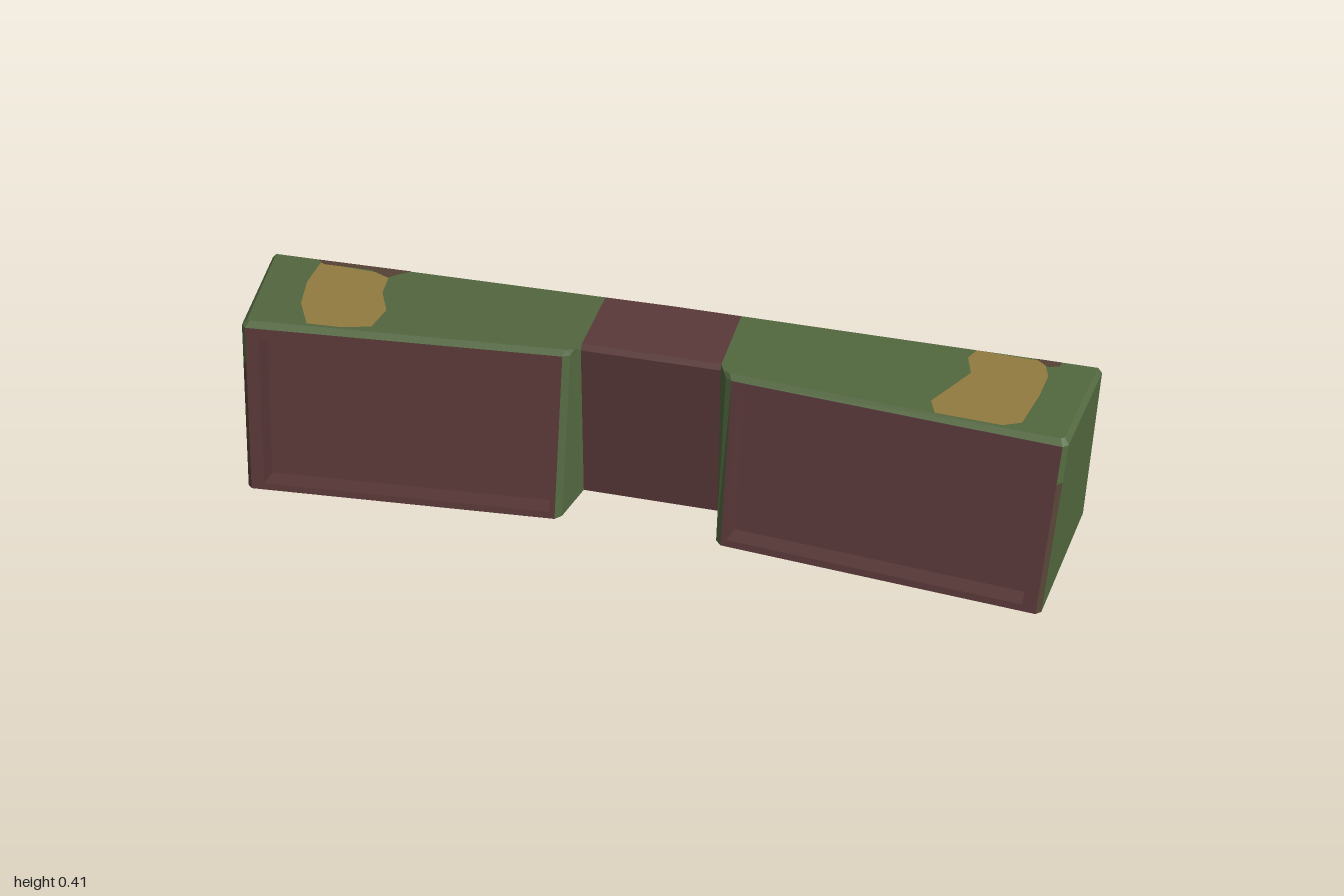
import * as THREE from 'three';

const V = (x, y, z) => new THREE.Vector3(x, y, z);

export function createModel() {
  const group = new THREE.Group();
  const material = (name, color) => {
    const m = new THREE.MeshStandardMaterial({ color });
    m.name = name;
    return m;
  };
  const green = material('olive green', 0x52673f);
  const brown = material('red brown', 0x5a3939);
  const tan = material('tan patch', 0x937b40);
  const earth = material('earth brown', 0x554235);

  const addMesh = (name, geometry, mat) => {
    const mesh = new THREE.Mesh(geometry, mat);
    mesh.name = name;
    group.add(mesh);
  };

  // Flat mesh from quads, each seen counter-clockwise; side -1 mirrors in x
  const addQuads = (name, mat, side, quads) => {
    const pos = [];
    for (const q of quads) {
      const order = side > 0 ? [0, 1, 2, 0, 2, 3] : [0, 2, 1, 0, 3, 2];
      for (const i of order) pos.push(q[i].x * side, q[i].y, q[i].z);
    }
    const g = new THREE.BufferGeometry();
    g.setAttribute('position', new THREE.Float32BufferAttribute(pos, 3));
    g.computeVertexNormals();
    addMesh(name, g, mat);
  };

  // Horizontal polygon from [x, z] points, facing up or down
  const addFlat = (name, mat, points, y, up = true) => {
    const s = up ? -1 : 1;
    const shape = new THREE.Shape(points.map(([x, z]) => new THREE.Vector2(x, s * z)));
    const g = new THREE.ShapeGeometry(shape);
    g.rotateX(s * Math.PI / 2);
    g.translate(0, y, 0);
    addMesh(name, g, mat);
  };
  const mirror = (pts) => pts.map(([x, z]) => [-x, z]);

  // Half outlines from the back centre round the end to the front centre
  const H = 0.412, RIM = 0.4;
  const base = [[0, -0.204], [1, -0.193], [0.947, 0.192], [0.935, 0.203],
    [0.2, 0.138], [0.186, 0.122], [0.164, 0.012], [0, 0.012]];
  const rim = [[0, -0.204], [1, -0.193], [0.957, 0.104], [0.945, 0.115],
    [0.198, 0.047], [0.182, 0.037], [0.164, 0.012], [0, 0.012]];
  const top = [[0, -0.204], [0.99, -0.193], [0.946, 0.094], [0.938, 0.1],
    [0.19, 0.035], [0.174, 0.027], [0.164, 0.003], [0, 0.003]];
  const at = (ring, i, y) => V(ring[i][0], y, ring[i][1]);
  const wall = (lo, yLo, hi, yHi, i) =>
    [at(lo, i + 1, yLo), at(lo, i, yLo), at(hi, i, yHi), at(hi, i + 1, yHi)];

  for (const side of [1, -1]) {
    const label = side > 0 ? 'left' : 'right';

    // Back, end and inner walls, with the bevel along the top edge
    const shell = [0, 1, 4, 5].map((i) => wall(base, 0, rim, RIM, i));
    for (let i = 0; i < 6; i++) shell.push(wall(rim, RIM, top, H, i));
    addQuads(label + 'Walls', green, side, shell);
    addQuads(label + 'CentreFront', brown, side,
      [wall(base, 0, rim, RIM, 6), wall(rim, RIM, top, H, 6)]);

    // Bevel between end and front, weathered on its lower part
    const split = base.map((p, i) => p.map((c, k) => c + (rim[i][k] - c) * 0.78));
    addQuads(label + 'EdgeBevelLower', earth, side, [wall(base, 0, split, RIM * 0.78, 2)]);
    addQuads(label + 'EdgeBevelUpper', green, side, [wall(split, RIM * 0.78, rim, RIM, 2)]);

    // Sloping front frame round a deep rectangular recess
    const outer = wall(base, 0, rim, RIM, 3);
    const onFront = (u, v) => outer[0].clone().lerp(outer[1], u)
      .lerp(outer[3].clone().lerp(outer[2], u), v);
    const mouth = [onFront(0.018, 0.04), onFront(0.957, 0.04),
      onFront(0.957, 0.945), onFront(0.018, 0.945)];
    const normal = outer[1].clone().sub(outer[0])
      .cross(outer[3].clone().sub(outer[0])).normalize();
    const floor = mouth.map((p) => p.clone().addScaledVector(normal, -0.065));
    const band = (a, b) => a.map((p, i) => [p, a[(i + 1) % 4], b[(i + 1) % 4], b[i]]);
    addQuads(label + 'FrontFrame', brown, side, band(outer, mouth));
    addQuads(label + 'RecessWalls', brown, side, band(mouth, floor));
    addQuads(label + 'RecessPanel', brown, side, [floor]);

    // Wing top
    const wing = [[0.164, -0.2022], ...top.slice(1, 7)];
    addFlat(label + 'Top', green, side > 0 ? wing : mirror(wing), H);
  }

  // Centre top and underside
  const centre = [[0, -0.204], [0.164, -0.2022], [0.164, 0.003]];
  addFlat('centreTop', brown, [...centre, ...mirror(centre.slice(1)).reverse()], H);
  addFlat('underside', green, [...base, ...mirror(base.slice(1, 7)).reverse()], 0, false);

  // Camouflage patches on top
  addFlat('leftTanPatch', tan, [[0.715, -0.194], [0.87, -0.187], [0.885, -0.13], [0.875, -0.05],
    [0.85, 0.064], [0.81, 0.084], [0.66, 0.074], [0.645, 0.03], [0.68, -0.035],
    [0.715, -0.1], [0.7, -0.16]], H + 0.001);
  addFlat('leftEarthPatch', earth, [[0.85, -0.193], [0.91, -0.192], [0.905, -0.175],
    [0.88, -0.165]], H + 0.0015);
  addFlat('rightTanPatch', tan, [[-0.87, -0.18], [-0.69, -0.17], [-0.68, -0.09], [-0.645, -0.02],
    [-0.655, 0.055], [-0.72, 0.075], [-0.805, 0.08], [-0.85, 0], [-0.87, -0.09]], H + 0.001);
  addFlat('rightEarthPatch', earth, [[-0.88, -0.192], [-0.645, -0.196], [-0.67, -0.175],
    [-0.69, -0.155], [-0.74, -0.178], [-0.86, -0.175]], H + 0.0015);

  return group;
}
